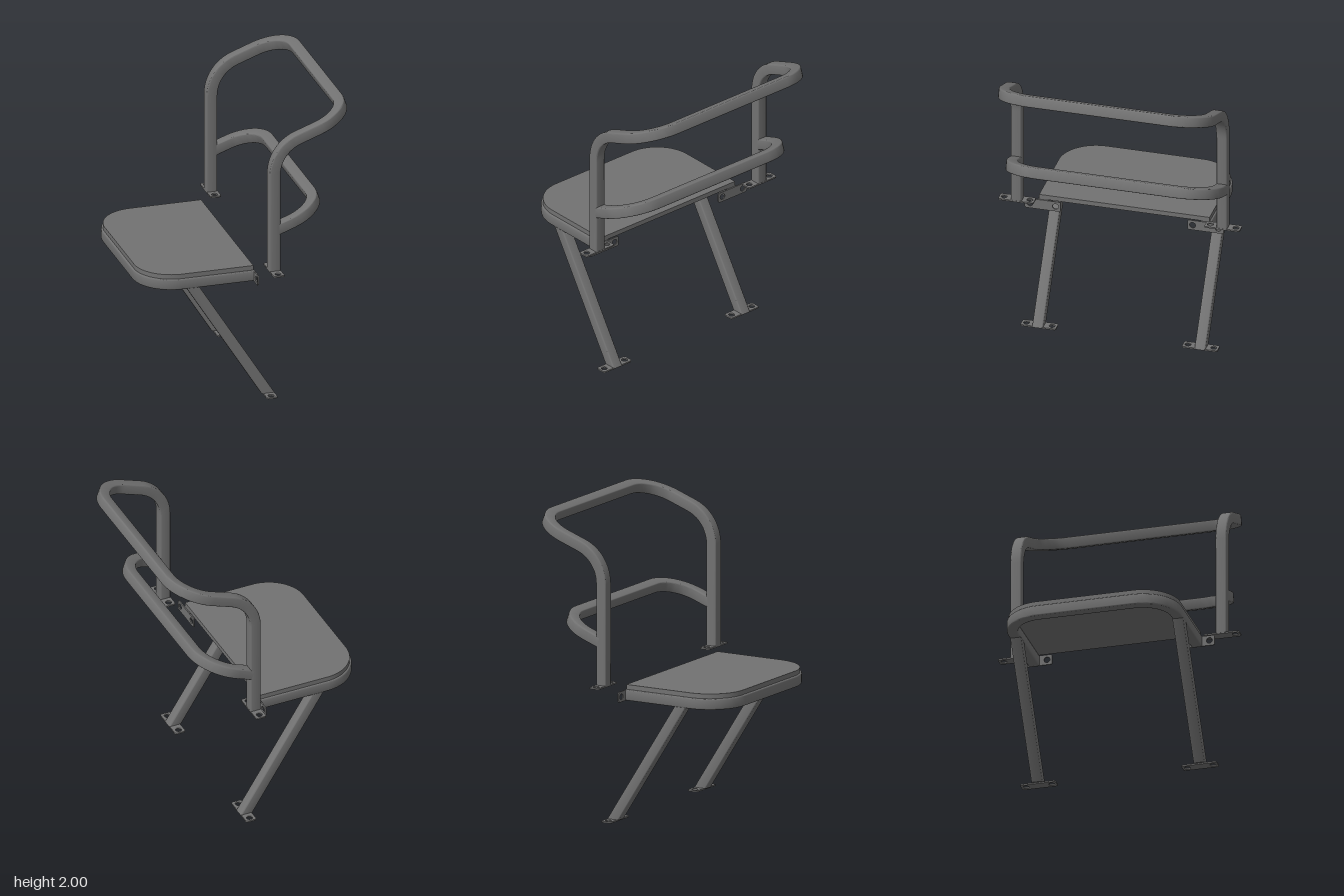
import * as THREE from 'three';
import { toCreasedNormals } from 'three/addons/utils/BufferGeometryUtils.js';

const V = (x, y, z) => new THREE.Vector3(x, y, z);
const TUBE = 0.073; // side of the square tube

// Path through corner points [point, bend radius], with arcs at the corners
function bentPath(corners, steps = 12) {
  const out = [];
  corners.forEach(([p, r], i) => {
    if (!r) return out.push(p);
    const u = corners[i - 1][0].clone().sub(p).normalize();
    const v = corners[i + 1][0].clone().sub(p).normalize();
    const half = u.angleTo(v) / 2;
    const centre = u.clone().add(v).normalize().multiplyScalar(r / Math.sin(half)).add(p);
    const arm = u.clone().multiplyScalar(r / Math.tan(half)).add(p).sub(centre);
    const axis = v.clone().cross(u).normalize();
    for (let k = 0; k <= steps; k++) {
      const a = (k / steps) * (Math.PI - 2 * half);
      out.push(arm.clone().applyAxisAngle(axis, a).add(centre));
    }
  });
  return out;
}

// Square section with rounded corners, counter-clockwise
function squareSection(size, r = 0.009) {
  const pts = [];
  const h = size / 2 - r;
  for (let c = 0; c < 4; c++) {
    const mid = Math.PI / 4 + c * Math.PI / 2;
    for (let k = 0; k < 4; k++) {
      const a = c * Math.PI / 2 + k * Math.PI / 6;
      pts.push([Math.sign(Math.cos(mid)) * h + r * Math.cos(a), Math.sign(Math.sin(mid)) * h + r * Math.sin(a)]);
    }
  }
  return pts;
}

// Square tube swept along a path that starts in the xy plane
function squareTube(path) {
  const section = squareSection(TUBE);
  const n = section.length;
  const pos = [], idx = [];
  const normal = V(0, 0, 1);
  path.forEach((p, i) => {
    const t = V(0, 0, 0);
    if (i > 0) t.add(p.clone().sub(path[i - 1]).normalize());
    if (i < path.length - 1) t.add(path[i + 1].clone().sub(p).normalize());
    t.normalize();
    normal.addScaledVector(t, -normal.dot(t)).normalize();
    const b = t.clone().cross(normal);
    for (const [a, c] of section) {
      const q = p.clone().addScaledVector(normal, a).addScaledVector(b, c);
      pos.push(q.x, q.y, q.z);
    }
    if (i === 0) return;
    for (let j = 0; j < n; j++) {
      const k = (j + 1) % n, o = (i - 1) * n;
      idx.push(o + j, o + k, o + n + k, o + j, o + n + k, o + n + j);
    }
  });
  const last = (path.length - 1) * n;
  for (let j = 1; j < n - 1; j++) idx.push(0, j + 1, j, last, last + j, last + j + 1);
  const g = new THREE.BufferGeometry();
  g.setAttribute('position', new THREE.Float32BufferAttribute(pos, 3));
  g.setIndex(idx);
  return toCreasedNormals(g, 0.6);
}

// Flat mounting plate with two bolt holes: width on x, length on z, base at y = 0
function holedPlate(width, length, thickness) {
  const w = width / 2, l = length / 2, r = 0.012;
  const s = new THREE.Shape();
  s.absarc(w - r, l - r, r, 0, Math.PI / 2);
  s.absarc(-w + r, l - r, r, Math.PI / 2, Math.PI);
  s.absarc(-w + r, -l + r, r, Math.PI, Math.PI * 1.5);
  s.absarc(w - r, -l + r, r, Math.PI * 1.5, Math.PI * 2);
  s.closePath();
  for (const d of [-0.086, 0.086]) {
    s.holes.push(new THREE.Path().absarc(0, d, 0.02, 0, Math.PI * 2, true));
  }
  const g = new THREE.ExtrudeGeometry(s, { depth: thickness, bevelEnabled: false, curveSegments: 8 });
  return toCreasedNormals(g.rotateX(-Math.PI / 2), 0.6);
}

export function createModel() {
  const model = new THREE.Group();
  model.name = 'wallSeatWithRails';
  const grey = new THREE.MeshStandardMaterial({ color: 0x727272 });
  grey.name = 'grey steel';

  const add = (name, geometry, x = 0, y = 0, z = 0) => {
    const m = new THREE.Mesh(geometry, grey);
    m.name = name;
    m.position.set(x, y, z);
    model.add(m);
    return m;
  };

  // Upper rail: post, bend, sloping loop, and back down the other post
  const z = 0.69, postX = 0.144, slope = Math.tan(Math.PI / 9);
  const topX = 0.654, topY = 1.954;
  const bendY = topY - (topX - postX) * slope;
  add('upperRailAndPosts', squareTube(bentPath([
    [V(postX, 0.92, z), 0], [V(postX, bendY, z), 0.25], [V(topX, topY, z), 0.225],
    [V(topX, topY, -z), 0.225], [V(postX, bendY, -z), 0.25], [V(postX, 0.92, -z), 0],
  ])));

  // Lower rail: sloping loop between the posts
  const lowX = 0.47, lowY = 1.32, startX = 0.165;
  const startY = lowY - (lowX - startX) * slope;
  add('lowerRail', squareTube(bentPath([
    [V(startX, startY, z), 0], [V(lowX, lowY, z), 0.225],
    [V(lowX, lowY, -z), 0.225], [V(startX, startY, -z), 0],
  ])));

  // Seat frame: U-shaped tube, open at the hinge side
  const fx = -0.664, fy = 0.846, fz = 0.547, backX = 0.043;
  add('seatFrame', squareTube(bentPath([
    [V(backX, fy, fz), 0], [V(fx, fy, fz), 0.225],
    [V(fx, fy, -fz), 0.225], [V(backX, fy, -fz), 0],
  ])));

  // Seat panel with two rounded corners
  const px = -0.688, pz = 0.572, pr = 0.25;
  const panel = new THREE.Shape();
  panel.moveTo(backX, -pz);
  panel.lineTo(backX, pz);
  panel.absarc(px + pr, pz - pr, pr, Math.PI / 2, Math.PI);
  panel.absarc(px + pr, -pz + pr, pr, Math.PI, Math.PI * 1.5);
  panel.closePath();
  const panelGeo = new THREE.ExtrudeGeometry(panel, { depth: 0.032, bevelEnabled: false, curveSegments: 16 });
  add('seatPanel', toCreasedNormals(panelGeo.rotateX(-Math.PI / 2), 0.6), 0, 0.882, 0);

  // Slanted legs, cut level at both ends
  const legTop = 0.812, footX = 0.146, legTopX = -0.367;
  const lean = (legTopX - footX) / legTop;
  const legGeo = squareTube([V(0, 0.008, 0), V(0, legTop, 0)]);
  legGeo.applyMatrix4(new THREE.Matrix4().set(1.18, lean, 0, 0, 0, 1, 0, 0, 0, 0, 1, 0, 0, 0, 0, 1));

  const footGeo = holedPlate(0.073, 0.237, 0.01);
  const bracketGeo = holedPlate(0.07, 0.242, 0.008).rotateZ(Math.PI / 2);
  for (const [side, s] of [['left', 1], ['right', -1]]) {
    add(side + 'Leg', legGeo, footX, 0, s * 0.545);
    add(side + 'LegFoot', footGeo, 0.145, 0, s * 0.542);
    add(side + 'PostFoot', footGeo, 0.145, 0.914, s * 0.692);
    add(side + 'SeatBracket', bracketGeo, 0.051, 0.844, s * 0.546);
  }
  return model;
}
